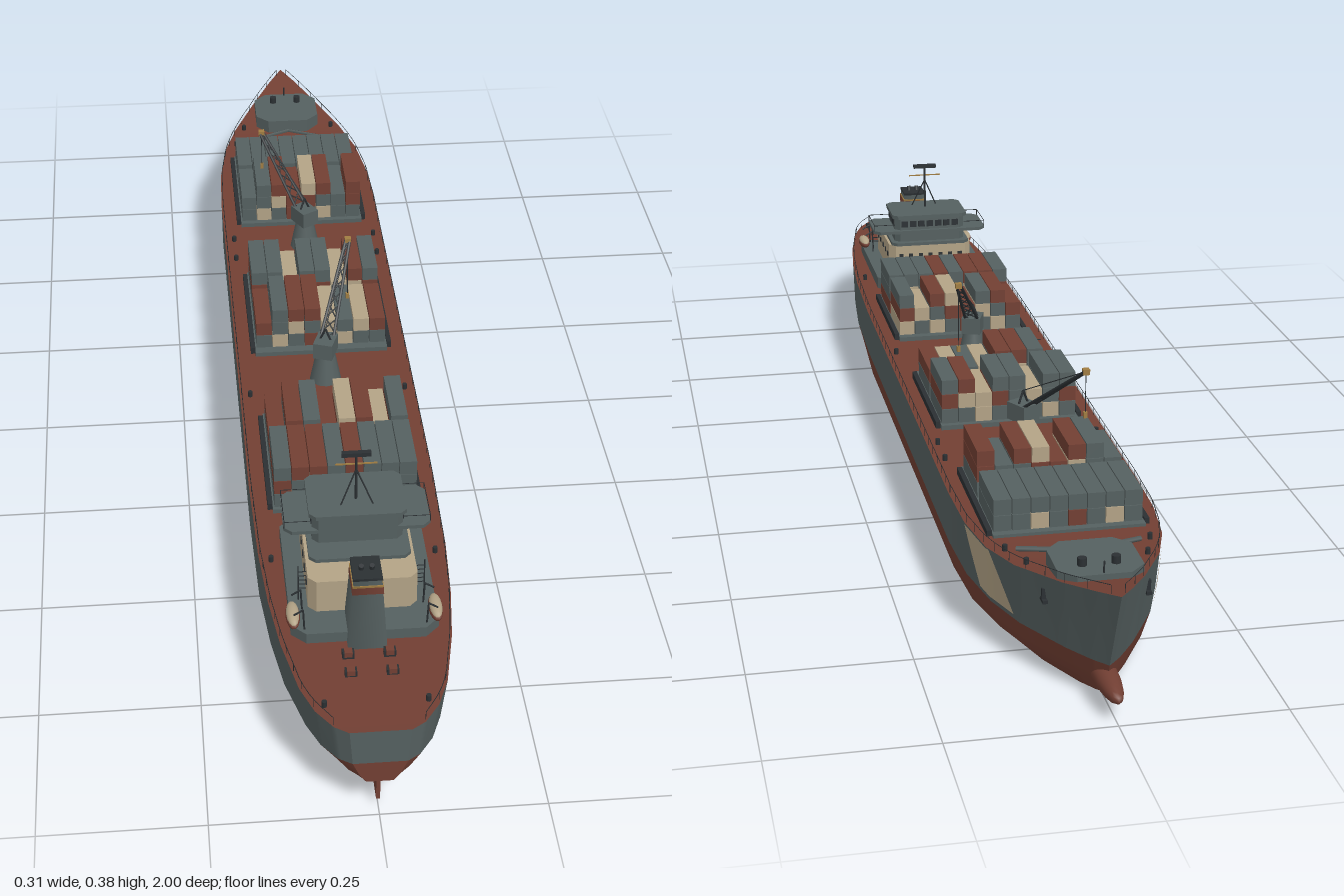
import * as THREE from 'three';

const mat = (name, color, side = THREE.FrontSide) => {
  const m = new THREE.MeshStandardMaterial({ color, side });
  m.name = name;
  return m;
};
const GREY = mat('slate grey', 0x556060), RED = mat('oxide red', 0x723f33), CREAM = mat('cream', 0xb3a386);
const DARK = mat('dark steel', 0x2b3033), OCHRE = mat('ochre', 0xa07d42);

// Hull stations: deck z, keel z shift, half widths (deck, waterline, bilge, bottom), heights (keel, waterline, deck)
const ST = [
  [1.0, 0, .045, .04, .03, .02, .068, .105, .166],
  [.985, 0, .066, .06, .044, .026, .064, .103, .165],
  [.95, 0, .09, .082, .06, .036, .054, .098, .164],
  [.9, 0, .109, .1, .077, .048, .04, .091, .163],
  [.8, 0, .129, .124, .105, .074, .02, .081, .16],
  [.7, 0, .141, .138, .124, .094, .01, .075, .158],
  [.58, 0, .149, .148, .137, .108, .004, .071, .156],
  [.4, 0, .153, .152, .145, .12, 0, .07, .155],
  [-.5, 0, .153, .152, .145, .12, 0, .07, .155],
  [-.62, 0, .149, .146, .137, .108, 0, .07, .156],
  [-.72, .003, .135, .127, .114, .086, 0, .069, .159],
  [-.8, .01, .109, .099, .086, .062, .001, .068, .165],
  [-.9, .03, .06, .05, .04, .026, .004, .067, .18],
  [-.96, .055, .026, .02, .015, .009, .008, .066, .192],
  [-1.0, .08, 0, 0, 0, 0, .012, .065, .2],
];
const N = ST.length - 1, lerp = THREE.MathUtils.lerp;

function station(s) {
  const i = Math.min(Math.floor(s), N - 1);
  return ST[i].map((a, k) => lerp(a, ST[i + 1][k], s - i));
}
function stationAt(z) {
  let i = 0;
  while (i < N - 1 && ST[i + 1][0] > z) i++;
  return station(i + (ST[i][0] - z) / (ST[i][0] - ST[i + 1][0]));
}
// v runs 0 keel centre, 1 bottom edge, 2 bilge, 3 waterline, 4 deck edge
function hullPoint(st, v, side = 1) {
  const [z, sh, wd, ww, wb, wk, yk, yw, yd] = st;
  const pts = [[0, yk], [wk, yk], [wb, lerp(yk, yw, .38)], [ww, yw], [wd, yd]];
  const j = Math.min(Math.floor(v), 3), f = v - j;
  const x = lerp(pts[j][0], pts[j + 1][0], f), y = lerp(pts[j][1], pts[j + 1][1], f);
  return [x * side, y, z + sh * (yd - y) / (yd - yk)];
}
function grid(fn, nu, nv, flip = false) {
  const pos = [], idx = [];
  for (let i = 0; i <= nu; i++) for (let j = 0; j <= nv; j++) pos.push(...fn(i / nu, j / nv));
  for (let i = 0; i < nu; i++) for (let j = 0; j < nv; j++) {
    const a = i * (nv + 1) + j, b = a + nv + 1;
    if (flip) idx.push(a, b + 1, b, a, a + 1, b + 1);
    else idx.push(a, b, b + 1, a, b + 1, a + 1);
  }
  const g = new THREE.BufferGeometry();
  g.setAttribute('position', new THREE.Float32BufferAttribute(pos, 3));
  g.setIndex(idx);
  g.computeVertexNormals();
  return g;
}

export function createModel() {
  const root = new THREE.Group();
  const add = (name, geo, m, x = 0, y = 0, z = 0, parent = root) => {
    const o = new THREE.Mesh(geo, m);
    o.name = name;
    o.position.set(x, y, z);
    parent.add(o);
    return o;
  };
  // Box given by its width, bottom and top, and z range
  const box = (name, m, x, w, y0, y1, z0, z1) =>
    add(name, new THREE.BoxGeometry(w, y1 - y0, Math.abs(z1 - z0)), m, x, (y0 + y1) / 2, (z0 + z1) / 2);
  const bar = (name, m, a, b, r, n = 5) => {
    const A = new THREE.Vector3(...a), B = new THREE.Vector3(...b), d = B.clone().sub(A);
    const o = add(name, new THREE.CylinderGeometry(r, r, d.length(), n), m, ...A.add(B).multiplyScalar(.5).toArray());
    o.quaternion.setFromUnitVectors(new THREE.Vector3(0, 1, 0), d.normalize());
    return o;
  };
  // Horizontal slab with chamfered corners
  const slab = (name, m, hw, z0, z1, y0, y1, c) => {
    const pts = [[-hw + c, z0], [hw - c, z0], [hw, z0 + c], [hw, z1 - c], [hw - c, z1], [-hw + c, z1], [-hw, z1 - c], [-hw, z0 + c]];
    const s = new THREE.Shape(pts.map(p => new THREE.Vector2(p[0], -p[1])));
    const g = new THREE.ExtrudeGeometry(s, { depth: y1 - y0, bevelEnabled: false }).rotateX(-Math.PI / 2);
    return add(name, g, m, 0, y0, 0);
  };

  // Hull sides, transom, deck, bow patches and rails
  for (const s of [1, -1]) {
    const flip = s < 0;
    add('hullBottom', grid((u, v) => hullPoint(station(u * N), v * 3, s), N * 6, 9, flip), RED);
    add('hullSide', grid((u, v) => hullPoint(station(u * N), 3 + v, s), N * 6, 4, flip), GREY);
    add('bowPatch', grid((u, v) => {
      const p = hullPoint(stationAt(lerp(-.625, -.73, u) - .058 * (1 - v)), 3.1 + .9 * v, s);
      return [p[0] + s * .002, p[1], p[2] - .001];
    }, 16, 8, flip), CREAM);
    const rail = [];
    for (let z = .98; z > -.99; z -= .04) {
      const st = stationAt(z), x = s * Math.max(st[2] - .003, 0), y = st[8];
      rail.push(new THREE.Vector3(x, y + .014, z));
      bar('railPost', DARK, [x, y, z], [x, y + .014, z], .0005, 3);
    }
    add('rail', new THREE.TubeGeometry(new THREE.CatmullRomCurve3(rail), 100, .0006, 4), DARK);
  }
  add('transomBottom', grid((u, v) => hullPoint(ST[0], v * 3, u * 2 - 1), 2, 3), RED);
  add('transom', grid((u, v) => hullPoint(ST[0], 3 + v, u * 2 - 1), 2, 1), GREY);
  add('deck', grid((u, v) => hullPoint(station(u * N), 4, 1 - 2 * v), N * 3, 2), RED);

  // Bulbous bow, rudder and propeller
  add('bulb', new THREE.SphereGeometry(1, 16, 12).scale(.019, .018, .09), RED, 0, .037, -.91);
  box('rudder', RED, 0, .006, .012, .075, .935, .98);
  bar('propellerShaft', DARK, [0, .02, .85], [0, .02, .928], .004, 8);
  for (let i = 0; i < 4; i++) {
    const a = Math.PI * (i / 2 + .25);
    const b = add('propellerBlade', new THREE.SphereGeometry(1, 8, 6).scale(.01, .006, .002), OCHRE,
      Math.cos(a) * .011, .018 + Math.sin(a) * .007, .927);
    b.rotation.set(0, 0, a * .3);
  }

  // Hatches and container bays: front z, tiers, top colour of each column from -x to +x
  for (const [z0, z1] of [[.215, .48], [-.24, .03], [-.69, -.42]]) {
    box('hatchCoaming', GREY, 0, .236, .15, .163, z0, z1);
    for (const s of [1, -1]) box('hatchEdge', DARK, s * .122, .008, .15, .167, z0 + .01, z1 - .01);
  }
  const pick = { g: GREY, r: RED, c: CREAM };
  const bays = [
    [.357, 'grrgrggg', '33333333', 'rg'], [.23, 'rrgrcrcg', '23323323', 'cr'],
    [-.103, 'rgrrcgcr', '23332222', 'gg'], [-.23, 'ggcggcrg', '33233233', 'gr'],
    [-.547, 'ggrrcrgr', '23323323', 'gr'], [-.677, 'gggggggg', '22222222', 'gg'],
  ];
  const boxGeo = new THREE.BoxGeometry(.0275, .025, .116);
  for (const [z, tops, counts, lower] of bays) for (let c = 0; c < 8; c++) {
    const n = +counts[c];
    for (let t = 0; t < n; t++) {
      const key = t === n - 1 ? tops[c] : c === 7 ? lower[t] : 'grgc'[(c * 3 + t) % 4];
      add('container', boxGeo, pick[key], (c - 3.5) * .029, .1755 + t * .026, z + .058);
    }
  }

  // Deck cranes with lattice booms
  const crane = (z, tip, hookY) => {
    add('cranePedestal', new THREE.CylinderGeometry(.017, .028, .055, 12), GREY, 0, .18, z);
    const dir = Math.atan2(tip[0], tip[2] - z);
    const cab = add('craneCab', new THREE.BoxGeometry(.034, .03, .042), GREY, 0, .222, z);
    cab.rotation.y = dir;
    const px = Math.cos(dir) * .012, pz = -Math.sin(dir) * .012;
    const at = (s, f) => [lerp(s * px, tip[0] + s * px * .3, f), lerp(.225, tip[1], f), lerp(z + s * pz, tip[2] + s * pz * .3, f)];
    for (const s of [1, -1]) {
      bar('boomChord', DARK, at(s, 0), at(s, 1), .0028);
      for (let i = 0; i < 8; i++) bar('boomLattice', DARK, at(s, i / 8), at(-s, (i + 1) / 8), .0012, 4);
      bar('craneFrame', DARK, [s * px, .23, z + s * pz], [0, .258, z], .002);
    }
    bar('boomStay', DARK, [0, .258, z], tip, .0009, 4);
    add('boomHead', new THREE.BoxGeometry(.011, .009, .011), OCHRE, ...tip);
    bar('hoistCable', DARK, tip, [tip[0], hookY, tip[2]], .0007, 4);
    add('hookBlock', new THREE.BoxGeometry(.006, .01, .006), OCHRE, tip[0], hookY, tip[2]);
  };
  crane(.105, [.053, .345, -.045], .228);
  crane(-.345, [-.073, .333, -.475], .26);

  // Deckhouse tiers, windows and bridge
  slab('deckhouseBase', GREY, .112, .52, .8, .15, .178, .022);
  slab('accommodation', CREAM, .083, .565, .75, .178, .235, .012);
  slab('accommodationRoof', GREY, .078, .56, .705, .235, .241, .01);
  slab('bridgeHouse', GREY, .07, .572, .665, .241, .29, .01);
  slab('bridgeWings', GREY, .113, .565, .665, .259, .265, .012);
  slab('bridgeRoof', GREY, .075, .566, .672, .289, .296, .01);
  for (let i = -3; i <= 3; i++) {
    box('bridgeWindow', DARK, i * .017, .013, .271, .283, .57, .573);
    box('cabinWindow', DARK, i * .02, .008, .208, .217, .563, .566);
  }
  for (const s of [1, -1]) {
    for (let i = 0; i < 3; i++) box('bridgeSideWindow', DARK, s * .07, .003, .271, .283, .59 + i * .024, .607 + i * .024);
    for (let i = 0; i < 5; i++) box('cabinSideWindow', DARK, s * .083, .003, .208, .217, .585 + i * .032, .595 + i * .032);
    bar('wingRail', DARK, [s * .112, .276, .575], [s * .112, .276, .655], .0007, 4);
    for (const z of [.575, .655]) {
      bar('wingRailPost', DARK, [s * .112, .265, z], [s * .112, .276, z], .0007, 4);
      bar('wingRailEnd', DARK, [s * .07, .276, z], [s * .112, .276, z], .0007, 4);
    }
    // Lifeboats on davits, and the outside ladder
    add('lifeboat', new THREE.SphereGeometry(1, 14, 10).scale(.011, .009, .03), RED, s * .108, .186, .765);
    add('lifeboatCover', new THREE.SphereGeometry(1, 14, 6, 0, Math.PI * 2, 0, Math.PI / 2).scale(.01, .008, .028), CREAM, s * .108, .189, .765);
    for (const z of [.742, .788]) {
      bar('davit', DARK, [s * .092, .175, z], [s * .094, .215, z], .0015);
      bar('davitArm', DARK, [s * .094, .215, z], [s * .108, .206, z], .0015);
    }
    for (let i = 0; i < 5; i++) bar('ladderRung', DARK, [s * .084, .2 + i * .008, .72], [s * .096, .2 + i * .008, .72], .001, 4);
    bar('ladderPost', DARK, [s * .096, .178, .72], [s * .096, .243, .72], .001, 4);
    bar('mastStay', DARK, [s * .025, .295, .645], [0, .352, .63], .0012, 4);
  }

  // Radar mast
  bar('mast', DARK, [0, .295, .63], [0, .38, .63], .0022, 6);
  box('radarScanner', DARK, 0, .045, .377, .384, .626, .634);
  box('mastYard', OCHRE, 0, .064, .361, .363, .629, .631);

  // Tapered funnel with bands
  const funnel = (name, m, y0, y1, grow = 0) => {
    const w = y => lerp(.029, .021, (y - .165) / .12) + grow;
    add(name, new THREE.CylinderGeometry(w(y1) * Math.SQRT2, w(y0) * Math.SQRT2, y1 - y0, 4).rotateY(Math.PI / 4).scale(1, 1, 1.2), m, 0, (y0 + y1) / 2, .785);
  };
  funnel('funnel', GREY, .16, .285);
  funnel('funnelBand', RED, .26, .272, .001);
  funnel('funnelStripe', OCHRE, .272, .275, .0012);
  funnel('funnelCap', DARK, .284, .288, .001);
  for (const s of [1, -1]) bar('exhaustPipe', DARK, [s * .008, .28, .785], [s * .008, .296, .79], .004, 8);

  // Forecastle platform, breakwater and mooring gear
  slab('forecastle', GREY, .064, -.905, -.785, .16, .19, .024);
  for (const s of [1, -1]) {
    add('windlass', new THREE.CylinderGeometry(.007, .007, .012, 10), DARK, s * .025, .196, -.87);
    bar('breakwater', GREY, [0, .17, -.78], [s * .095, .165, -.745], .004, 4);
    for (const z of [.835, .875]) {
      box('sternWinch', DARK, s * .031, .018, .16, .172, z - .006, z + .006);
      box('winchDrum', RED, s * .031, .012, .166, .175, z - .004, z + .008);
    }
    for (const z of [.94, .6, .15, -.3, -.37, -.74, -.8]) {
      const st = stationAt(z);
      add('bollard', new THREE.CylinderGeometry(.004, .004, .01, 8), DARK, s * (st[2] - .018), st[8] + .005, z);
    }
    // Anchors lying against the bow
    const p = hullPoint(stationAt(-.86), 3.72, s);
    box('anchor', DARK, p[0], .008, p[1] - .012, p[1] + .008, p[2] - .003, p[2] + .003);
    box('anchorFluke', DARK, p[0], .008, p[1] - .013, p[1] - .008, p[2] - .01, p[2] + .01);
  }
  bar('foremast', DARK, [0, .19, -.9], [0, .208, -.9], .0015);
  return root;
}
